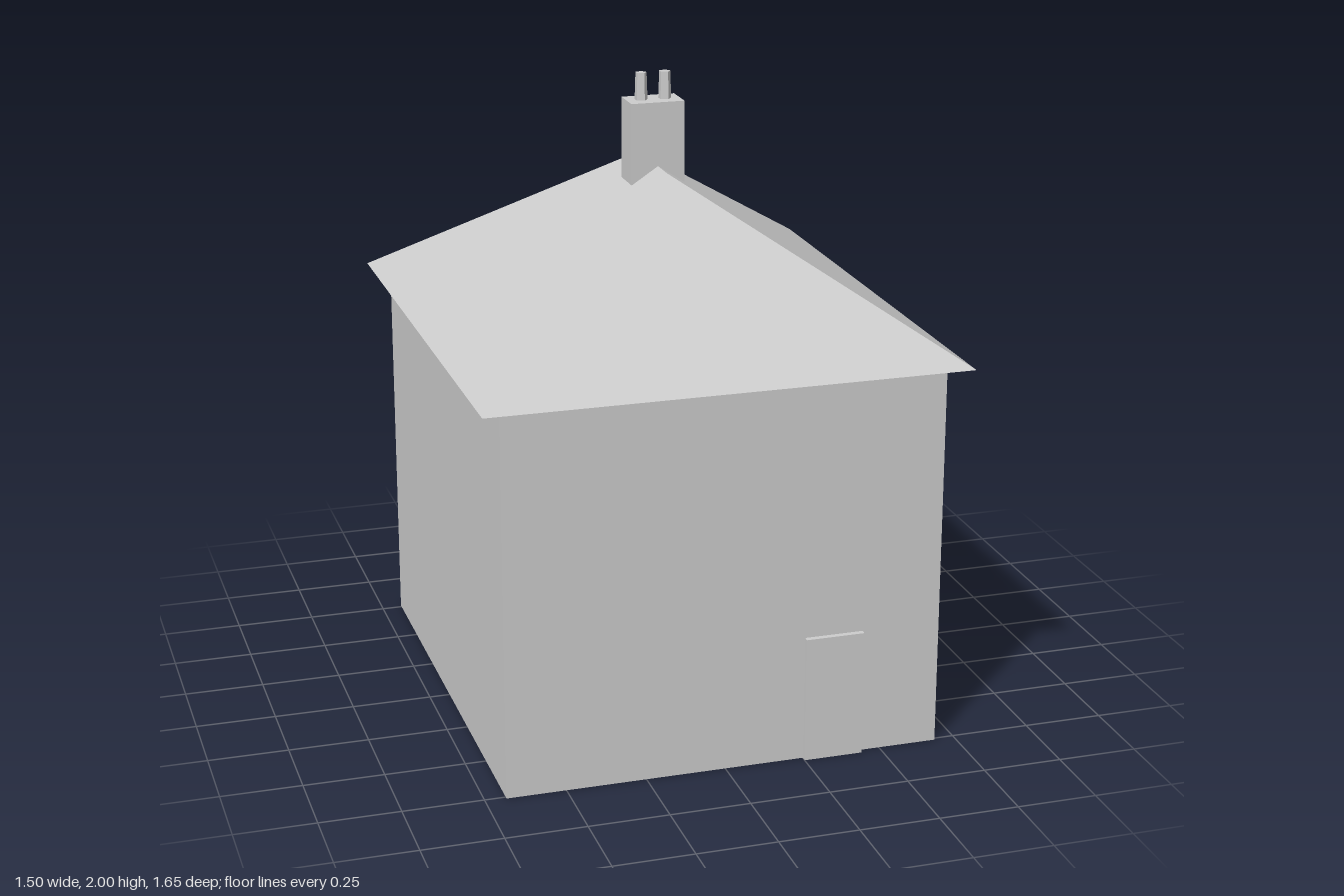
import * as THREE from 'three';

const stone = new THREE.MeshStandardMaterial({ color: 0xcccccc, flatShading: true });
stone.name = 'pale grey';

function add(parent, name, geometry, x, y, z) {
  const mesh = new THREE.Mesh(geometry, stone);
  mesh.name = name;
  mesh.position.set(x, y, z);
  parent.add(mesh);
  return mesh;
}

// Hipped roof: rectangular eaves rising to a short ridge along z
function hipRoof(halfX, halfZ, halfRidge, height) {
  const corners = [
    [-halfX, 0, halfZ], [halfX, 0, halfZ], [halfX, 0, -halfZ], [-halfX, 0, -halfZ],
    [0, height, halfRidge], [0, height, -halfRidge],
  ];
  const faces = [
    [0, 1, 4],            // front hip
    [2, 3, 5],            // back hip
    [1, 2, 5], [1, 5, 4], // left slope
    [3, 0, 4], [3, 4, 5], // right slope
    [0, 3, 2], [0, 2, 1], // underside
  ];
  const points = faces.flat().flatMap((i) => corners[i]);
  const geometry = new THREE.BufferGeometry();
  geometry.setAttribute('position', new THREE.Float32BufferAttribute(points, 3));
  geometry.computeVertexNormals();
  return geometry;
}

export function createModel() {
  const house = new THREE.Group();
  house.name = 'house';

  add(house, 'walls', new THREE.BoxGeometry(1.37, 1.225, 1.52), 0, 0.6125, 0);
  add(house, 'door', new THREE.BoxGeometry(0.185, 0.4, 0.02), 0.343, 0.2, 0.768);
  add(house, 'roof', hipRoof(0.75, 0.825, 0.15, 0.49), 0, 1.225, 0);

  // Chimney stack with two slightly tapered pots
  const chimney = new THREE.Group();
  chimney.name = 'chimney';
  house.add(chimney);
  add(chimney, 'chimneyStack', new THREE.BoxGeometry(0.17, 0.255, 0.11), 0, 1.7875, 0);
  for (const side of [-1, 1]) {
    const pot = new THREE.CylinderGeometry(0.018, 0.021, 0.085, 5);
    add(chimney, side > 0 ? 'leftPot' : 'rightPot', pot, side * 0.038, 1.9575, 0).rotation.y = Math.PI / 2;
  }
  return house;
}
